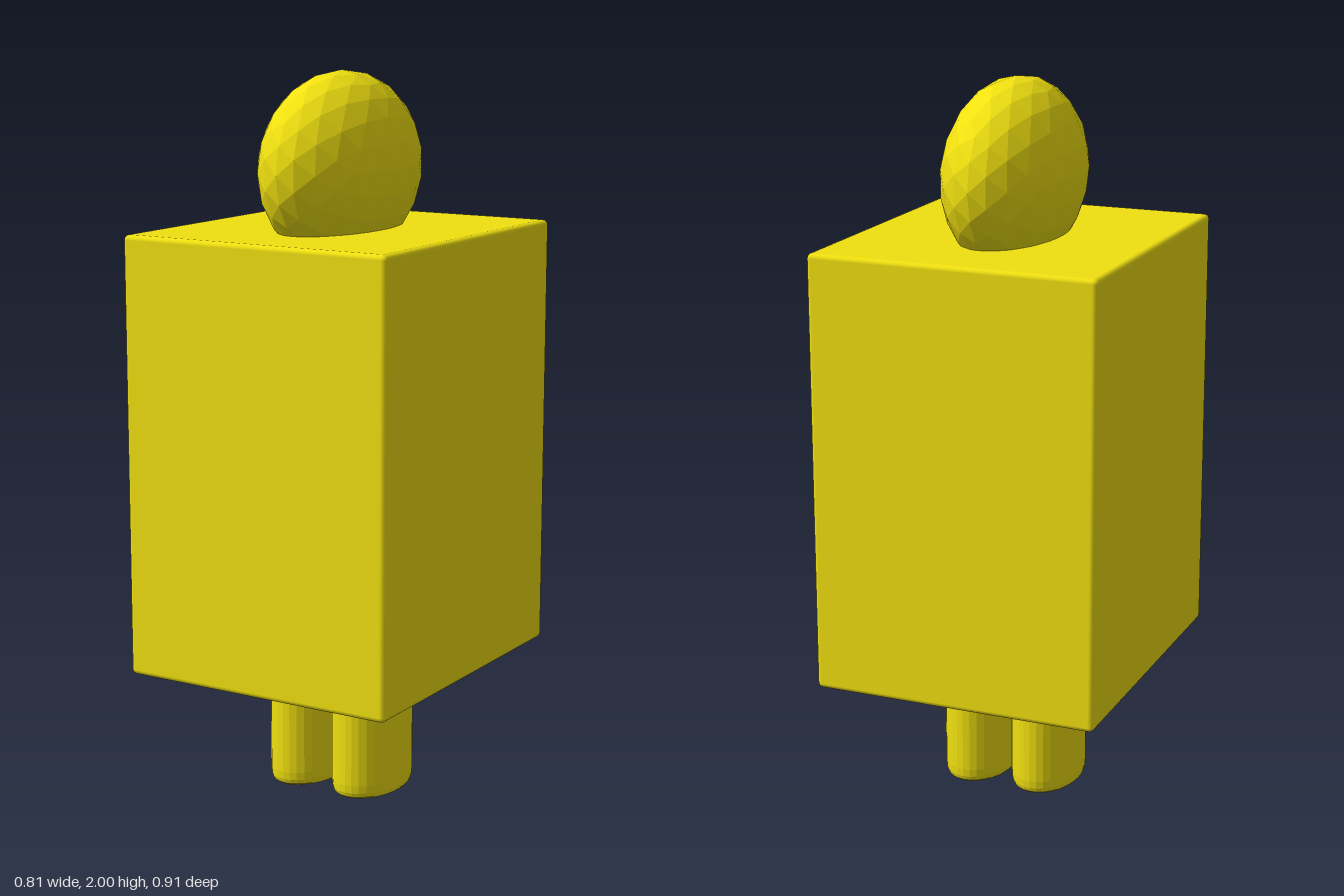
import * as THREE from 'three';
import { RoundedBoxGeometry } from 'three/addons/geometries/RoundedBoxGeometry.js';

export function createModel() {
  const model = new THREE.Group();
  const smooth = new THREE.MeshStandardMaterial({ color: 0xf0e010 });
  const faceted = new THREE.MeshStandardMaterial({ color: 0xf0e010, flatShading: true });

  const add = (name, geometry, material, x, y, z) => {
    const mesh = new THREE.Mesh(geometry, material);
    mesh.name = name;
    mesh.position.set(x, y, z);
    model.add(mesh);
  };

  // Tall block body with slightly softened edges
  add('body', new RoundedBoxGeometry(0.806, 1.214, 0.906, 2, 0.014), smooth, 0, 0.97, 0);

  // Faceted egg-shaped head, longest from front to back, sunk into the body
  const head = new THREE.IcosahedronGeometry(1, 3).scale(0.17, 0.26, 0.327);
  add('head', head, faceted, 0, 1.74, 0);

  // Two oval legs with rounded rims at the foot
  const profile = [[0, 0], [0.9, 0], [0.955, 0.006], [0.985, 0.018], [1, 0.04], [1, 0.38], [0, 0.38]]
    .map(([r, y]) => new THREE.Vector2(r, y));
  const leg = new THREE.LatheGeometry(profile, 32).scale(0.098, 1, 0.15);
  for (const [name, side] of [['leftLeg', 1], ['rightLeg', -1]]) {
    add(name, leg, faceted, side * 0.102, 0, 0);
  }

  return model;
}
